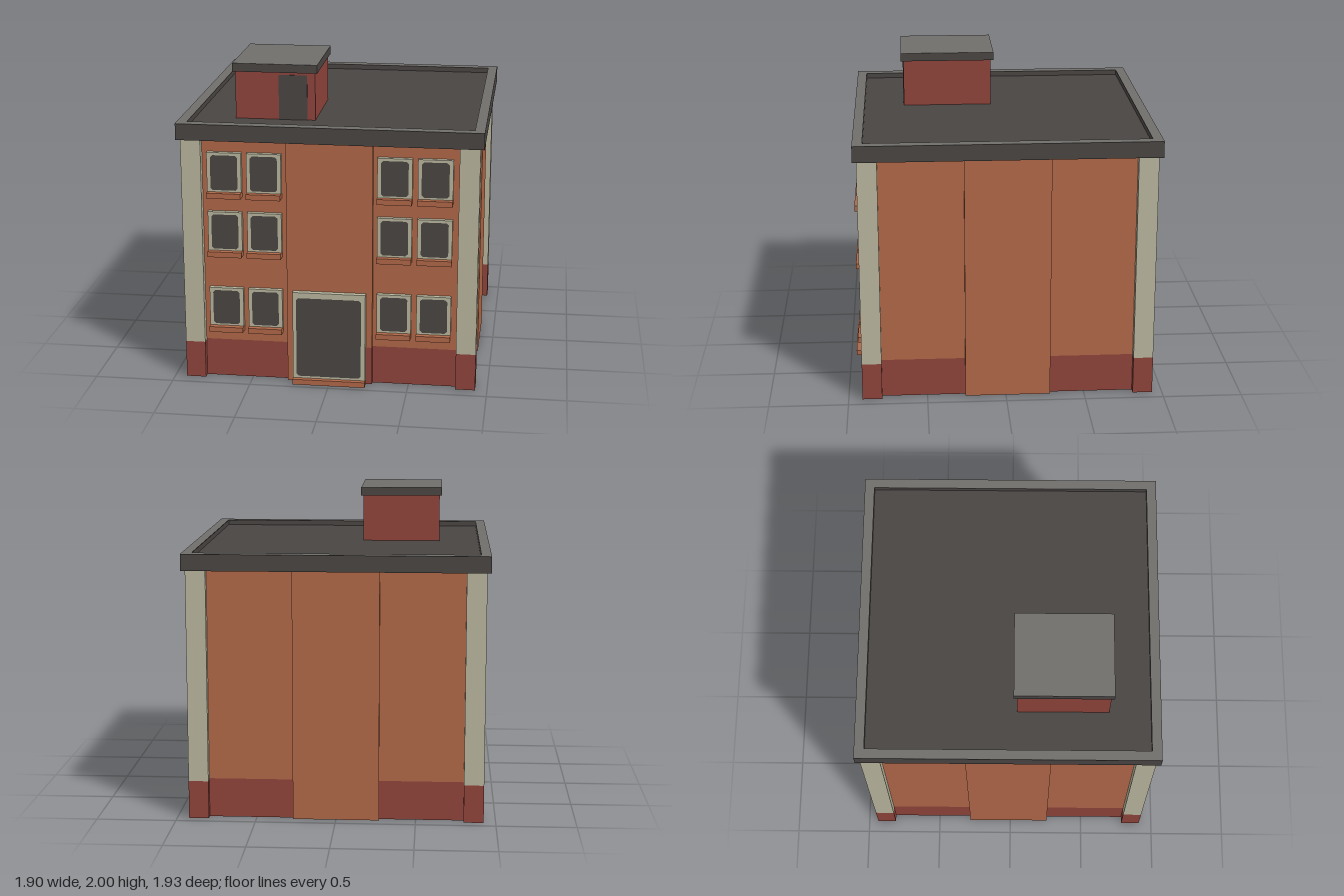
import * as THREE from 'three';
import { mergeGeometries } from 'three/addons/utils/BufferGeometryUtils.js';

const EAVES = 1.575, ROOF = 1.645, RIM = 1.68, HALF = 0.925, ZC = -0.0125;

export function createModel() {
  const mat = (name, color, side = THREE.FrontSide) => {
    const m = new THREE.MeshStandardMaterial({ color, side });
    m.name = name;
    return m;
  };
  const mats = {
    orange: mat('orangeBrick', 0xb06848, THREE.DoubleSide),
    red: mat('redBrick', 0x8f443b, THREE.DoubleSide),
    cream: mat('creamStone', 0xb9b69e, THREE.DoubleSide),
    dark: mat('darkGrey', 0x494543),
    grey: mat('copingGrey', 0x716e6b),
  };
  const model = new THREE.Group();
  model.name = 'apartmentBlock';

  const add = (parent, name, geometry, material) => {
    const mesh = new THREE.Mesh(geometry, material);
    mesh.name = name;
    parent.add(mesh);
    return mesh;
  };
  // Box given by its minimum and maximum on each axis
  const box = (parent, name, x0, x1, y0, y1, z0, z1, material) => {
    const mesh = add(parent, name, new THREE.BoxGeometry(x1 - x0, y1 - y0, z1 - z0), material);
    mesh.position.set((x0 + x1) / 2, (y0 + y1) / 2, (z0 + z1) / 2);
    return mesh;
  };
  // Flat pane with clipped corners, facing +z
  const pane = (parent, name, x0, x1, y0, y1, z, c) => {
    const s = new THREE.Shape([
      [x0 + c, y0], [x1 - c, y0], [x1, y0 + c], [x1, y1 - c],
      [x1 - c, y1], [x0 + c, y1], [x0, y1 - c], [x0, y0 + c],
    ].map(([x, y]) => new THREE.Vector2(x, y)));
    return add(parent, name, new THREE.ShapeGeometry(s).translate(0, 0, z), mats.dark);
  };

  // Walls: a stepped plan line per side, each step a lower and an upper band
  const panel = HALF - 0.045, bay = HALF - 0.015;
  const plan = [
    [-HALF, HALF], [-0.8, HALF], [-0.8, panel], [-0.27, panel], [-0.27, bay], [0.0, bay],
    [0.27, bay], [0.27, panel], [0.8, panel], [0.8, HALF], [HALF, HALF],
  ];
  const quad = ([x0, z0], [x1, z1], y0, y1) => {
    const g = new THREE.BufferGeometry();
    g.setAttribute('position', new THREE.Float32BufferAttribute(
      [x0, y0, z0, x1, y0, z1, x1, y1, z1, x0, y1, z0], 3));
    g.setIndex([0, 1, 2, 0, 2, 3]);
    g.computeVertexNormals();
    return g;
  };
  ['front', 'left', 'back', 'right'].forEach((side, k) => {
    const wall = new THREE.Group();
    wall.name = side + 'Wall';
    wall.rotation.y = k * Math.PI / 2;
    wall.position.z = ZC;
    model.add(wall);
    const parts = { orange: [], red: [], cream: [] };
    for (let i = 0; i < plan.length - 1; i++) {
      const a = plan[i], b = plan[i + 1];
      const pillar = i < 2 || i > 7;
      const inBay = i >= 3 && i <= 6;
      const base = inBay && !(k === 0 && i >= 5) ? 'orange' : 'red';
      const split = pillar ? 0.24 : 0.248;
      parts[base].push(quad(a, b, 0, split));
      parts[pillar ? 'cream' : 'orange'].push(quad(a, b, split, EAVES));
    }
    add(wall, side + 'Brickwork', mergeGeometries(parts.orange), mats.orange);
    add(wall, side + 'Plinth', mergeGeometries(parts.red), mats.red);
    add(wall, side + 'CornerPillars', mergeGeometries(parts.cream), mats.cream);
  });

  // Front windows: frame, glass and sill, in three rows on each side
  const wallZ = panel + ZC;
  for (const y of [0.355, 0.857, 1.24]) {
    for (const x of [-0.658, -0.409, 0.405, 0.655]) {
      const win = new THREE.Group();
      win.name = 'window';
      win.position.set(x, y, wallZ);
      model.add(win);
      box(win, 'windowFrame', -0.108, 0.108, 0, 0.252, 0, 0.03, mats.cream);
      pane(win, 'windowGlass', -0.085, 0.085, 0.012, 0.236, 0.033, 0.014);
      box(win, 'windowSill', -0.108, 0.108, -0.035, 0, 0, 0.067, mats.orange);
    }
  }

  // Entrance
  const door = new THREE.Group();
  door.name = 'entrance';
  model.add(door);
  box(door, 'doorFrame', -0.23, 0.23, 0.035, 0.61, bay + ZC, 0.934, mats.cream);
  pane(door, 'doorPanel', -0.207, 0.203, 0.05, 0.575, 0.938, 0.014);
  box(door, 'doorStep', -0.23, 0.23, 0, 0.035, bay + ZC, 0.965, mats.orange);

  // Flat roof inside a parapet with a pale coping
  const square = (h, Type) => new Type([[-h, -h], [h, -h], [h, h], [-h, h]]
    .map(([x, y]) => new THREE.Vector2(x, y)));
  const ring = square(0.949, THREE.Shape);
  ring.holes.push(square(0.887, THREE.Path));
  const parapet = add(model, 'parapet', new THREE.ExtrudeGeometry(ring,
    { depth: RIM - EAVES - 0.002, bevelEnabled: false }).rotateX(-Math.PI / 2), mats.dark);
  parapet.position.set(0, EAVES, ZC);
  const coping = add(model, 'parapetCoping',
    new THREE.ShapeGeometry(ring).rotateX(-Math.PI / 2), mats.grey);
  coping.position.set(0, RIM, ZC);
  box(model, 'roofDeck', -0.89, 0.89, EAVES + 0.002, ROOF, ZC - 0.89, ZC + 0.89, mats.dark);

  // Stair house on the roof
  const hut = new THREE.Group();
  hut.name = 'stairHouse';
  model.add(hut);
  box(hut, 'stairHouseWalls', -0.63, -0.125, ROOF, 1.95, 0.04, 0.615, mats.red);
  box(hut, 'stairHouseDoor', -0.355, -0.175, ROOF, 1.93, 0.613, 0.619, mats.dark);
  box(hut, 'stairHouseCap', -0.645, -0.11, 1.947, 1.998, 0.02, 0.632, mats.dark);
  box(hut, 'stairHouseCapTop', -0.645, -0.11, 1.998, 2, 0.02, 0.632, mats.grey);

  return model;
}
